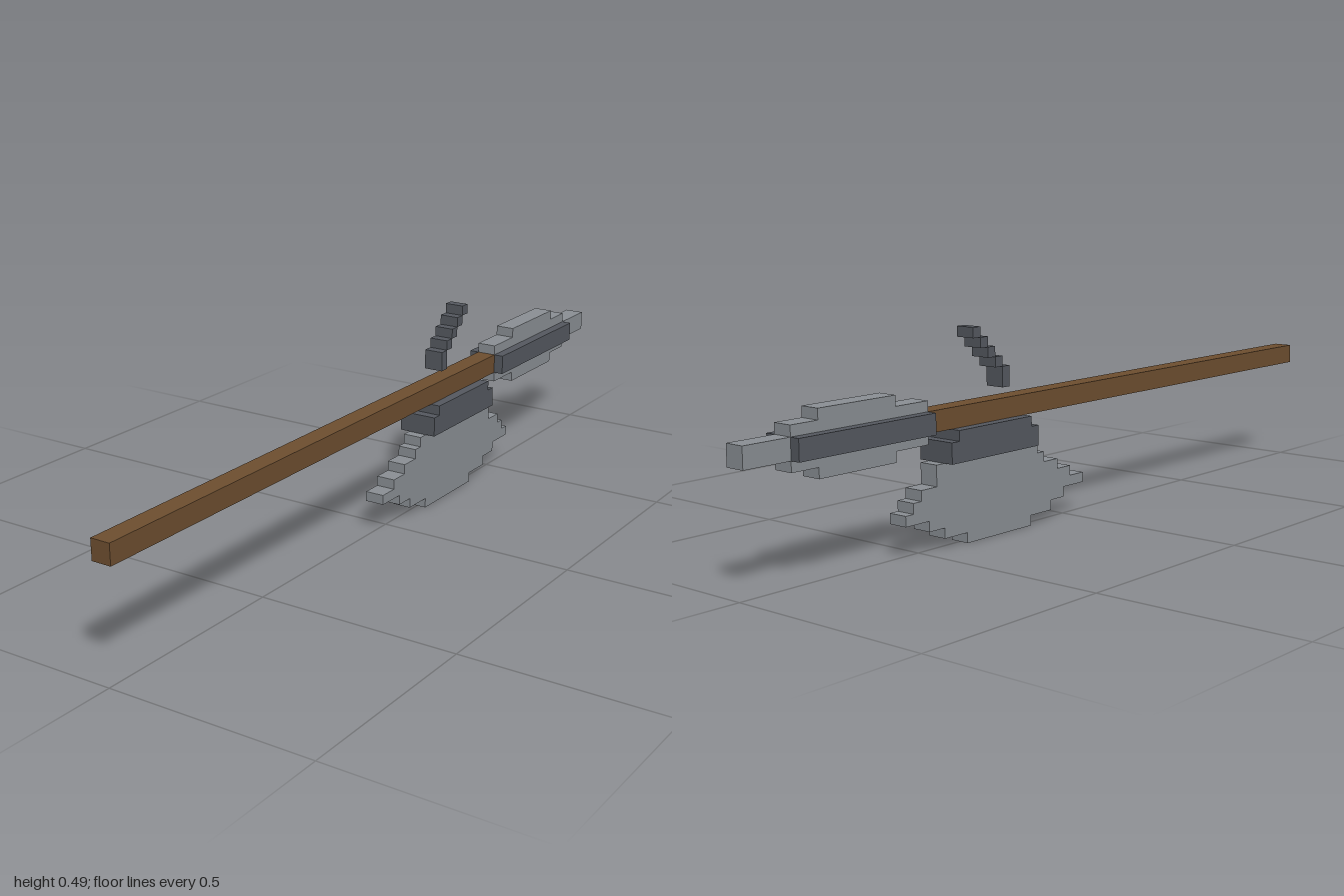
import * as THREE from 'three';

const U = 2 / 82; // size of one block

const material = (name, color) => {
  const m = new THREE.MeshStandardMaterial({ color });
  m.name = name;
  return m;
};

export function createModel() {
  const wood = material('brown wood', 0x6e4f30);
  const steel = material('light steel', 0x8b9095);
  const iron = material('dark iron', 0x555960);

  const model = new THREE.Group();
  model.name = 'poleaxe';

  const group = (name) => {
    const g = new THREE.Group();
    g.name = name;
    model.add(g);
    return g;
  };

  // Box in block units: x span, y span, and distance d back from the butt end
  const block = (parent, name, mat, [x0, x1], [y0, y1], [d0, d1]) => {
    const geo = new THREE.BoxGeometry((x1 - x0) * U, (y1 - y0) * U, (d1 - d0) * U);
    const mesh = new THREE.Mesh(geo, mat);
    mesh.name = name;
    mesh.position.set(((x0 + x1) / 2) * U, ((y0 + y1) / 2) * U, 1 - ((d0 + d1) / 2) * U);
    parent.add(mesh);
  };
  const thin = [-1, 1];
  const wide = [-2, 2];

  // Shaft
  block(model, 'shaft', wood, thin, [11, 13], [0, 61]);

  // Stepped axe blade, one row per block of height
  const blade = group('axeBlade');
  const rows = [[47, 56], [44, 59], [42, 61], [39, 64], [41, 63], [43, 62], [45, 60], [46, 60]];
  rows.forEach((span, y) => block(blade, 'bladeRow', steel, thin, [y, y + 1], span));

  // Collar joining blade and shaft
  const collar = group('collar');
  block(collar, 'collarBase', iron, wide, [8, 10], [47, 59]);
  block(collar, 'collarTop', iron, wide, [10, 11], [48, 58]);

  // Back hook, a rising stair
  const hook = group('backHook');
  block(hook, 'hookBase', iron, thin, [14, 16], [50, 51]);
  for (let i = 0; i < 4; i++) {
    block(hook, 'hookStep', iron, thin, [16 + i, 17 + i], [51 + i, 52 + i]);
  }

  // Spear head: core, stepped edges above and below, side plates
  const spear = group('spearHead');
  block(spear, 'spearCore', steel, thin, [11, 13], [61, 82]);
  for (const [inner, outer] of [[[13, 14], [14, 15]], [[10, 11], [9, 10]]]) {
    block(spear, 'spearInnerEdge', steel, thin, inner, [61, 77]);
    block(spear, 'spearOuterEdge', steel, thin, outer, [65, 74]);
  }
  for (const side of [[-2, -1], [1, 2]]) {
    block(spear, 'spearSidePlate', iron, side, [11, 13], [61, 77]);
  }

  return model;
}
